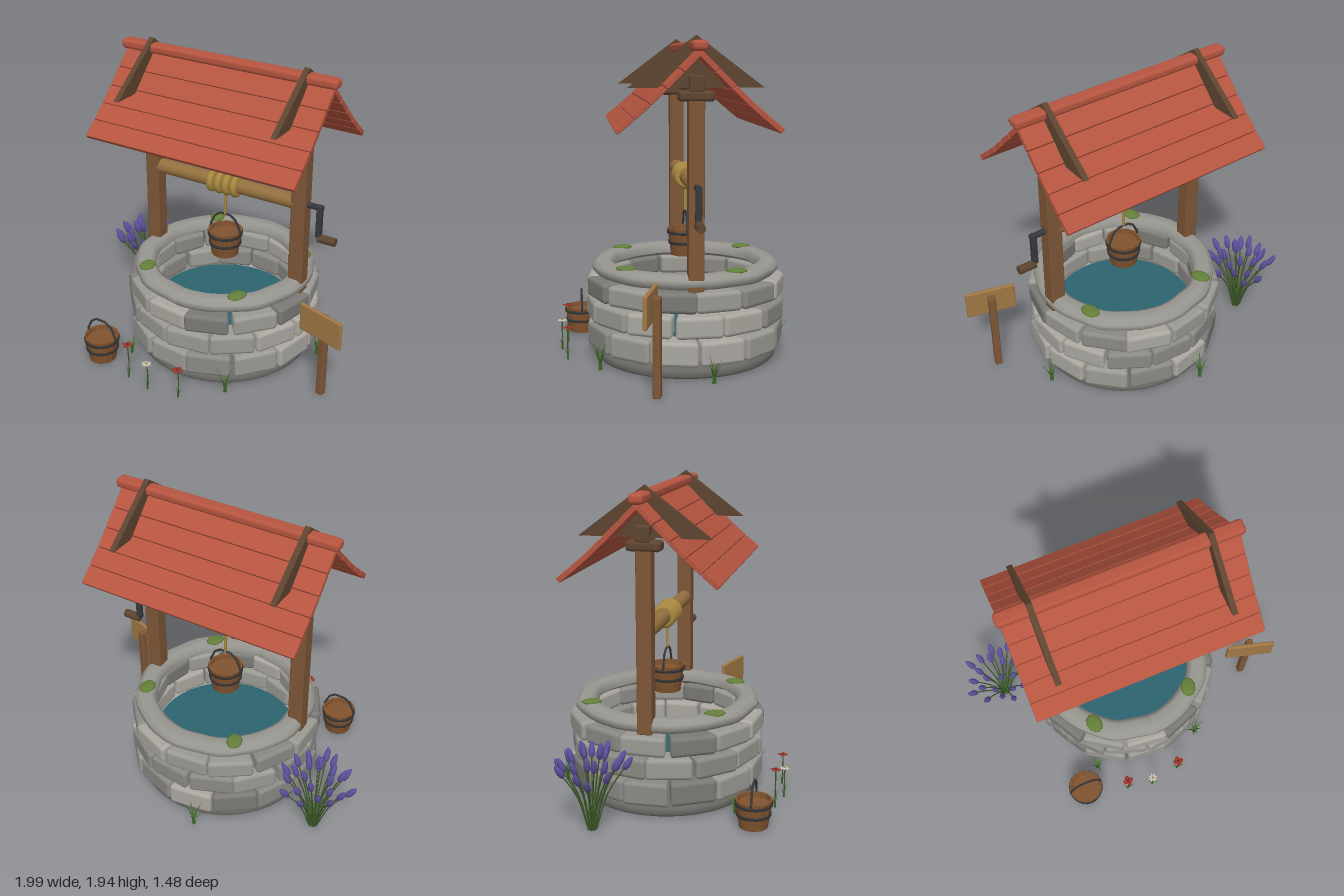
import * as THREE from 'three';
import { RoundedBoxGeometry } from 'three/addons/geometries/RoundedBoxGeometry.js';

const CX = 0.03, CZ = -0.047; // centre of the well
const V = (x, y, z) => new THREE.Vector3(x, y, z);
const mat = (color, extra = {}) => new THREE.MeshStandardMaterial({ color, ...extra });
const M = {
  wood: mat(0x7d5636), darkWood: mat(0x5e4430), axle: mat(0x94703f), sign: mat(0xa07845), bucket: mat(0x80532f),
  roof: mat(0xb65540), rim: mat(0x989690), base: mat(0x6e6d69), water: mat(0x2c6470), rope: mat(0xa8893f),
  metal: mat(0x37383b), moss: mat(0x64803a), leaf: mat(0x44702c, { side: THREE.DoubleSide }), stem: mat(0x3f5a2a),
  lavender: mat(0x5e529e), red: mat(0xa83328, { side: THREE.DoubleSide }), white: mat(0xcfcabc, { side: THREE.DoubleSide }),
};
const STONES = [0x8b8984, 0x9b9993, 0x7b7975, 0xaaa7a0].map(c => mat(c));

let seed = 7;
const rnd = () => (seed = (seed * 16807) % 2147483647) / 2147483647;

function add(parent, name, geo, material, x = 0, y = 0, z = 0) {
  const m = new THREE.Mesh(geo, material);
  m.name = name;
  m.position.set(x, y, z);
  parent.add(m);
  return m;
}
function group(parent, name, x = 0, y = 0, z = 0) {
  const g = new THREE.Group();
  g.name = name;
  g.position.set(x, y, z);
  parent.add(g);
  return g;
}
const rbox = (w, h, d, r = 0.008) => new RoundedBoxGeometry(w, h, d, 2, r);
const tube = (pts, r, n = 16, sides = 6) => new THREE.TubeGeometry(new THREE.CatmullRomCurve3(pts), n, r, sides);
const lathe = (pts, n) => new THREE.LatheGeometry(pts.map(p => new THREE.Vector2(...p)), n);

// Stone ring, base, rim, water and moss
function buildWell(root) {
  const well = group(root, 'well', CX, 0, CZ);
  add(well, 'base', lathe([[0, 0], [0.54, 0], [0.555, 0.015], [0.557, 0.05], [0.54, 0.07], [0, 0.07]], 48), M.base);
  add(well, 'water', new THREE.CylinderGeometry(0.46, 0.46, 0.01, 40), M.water, 0, 0.237, 0);
  const rows = [[0.155, 0.145, 8], [0.31, 0.13, -6], [0.45, 0.12, 7]], count = 13;
  rows.forEach(([y, h, offset], row) => {
    for (let i = 0; i < count; i++) {
      const a = (offset + (i + 0.5) * 360 / count + (rnd() - 0.5) * 2) * Math.PI / 180;
      const geo = rbox(0.268 + rnd() * 0.012, h, 0.15, 0.025);
      // taper toward the inside so that neighbours fit round the ring
      const p = geo.attributes.position;
      for (let k = 0; k < p.count; k++) p.setX(k, p.getX(k) * (0.91 + p.getZ(k) * 1.6));
      const r = 0.514 + rnd() * 0.014;
      const s = add(well, 'stone', geo, STONES[(i * 3 + row + Math.floor(rnd() * 3)) % 4], Math.sin(a) * r, y, Math.cos(a) * r);
      s.rotation.y = a;
    }
  });
  const rim = lathe([[0.44, 0.535], [0.47, 0.515], [0.545, 0.52], [0.568, 0.545], [0.565, 0.575],
    [0.535, 0.598], [0.47, 0.6], [0.44, 0.58], [0.44, 0.535]], 56);
  const p = rim.attributes.position;
  for (let i = 0; i < p.count; i++) {
    const a = Math.atan2(p.getX(i), p.getZ(i)), k = 1 + 0.008 * Math.sin(a * 9) + 0.005 * Math.cos(a * 14);
    p.setX(i, p.getX(i) * k);
    p.setZ(i, p.getZ(i) * k);
  }
  rim.computeVertexNormals();
  add(well, 'rim', rim, M.rim);
  for (const [x, z] of [[-0.34, 0.37], [0.31, 0.38], [0.43, -0.25], [-0.3, -0.4]]) {
    const m = add(well, 'moss', new THREE.SphereGeometry(0.065, 10, 6), M.moss, x, 0.6, z);
    m.scale.set(1, 0.22, 0.75);
    m.rotation.y = x * 4;
  }
}

// Posts, beams, gables and plank roof
function buildRoof(root) {
  const roof = group(root, 'roofFrame', CX, 0, CZ);
  for (const x of [-0.516, 0.516]) {
    add(roof, 'post', rbox(0.093, 1.16, 0.09), M.wood, x, 1.09, 0);
    add(roof, 'crossBeam', rbox(0.11, 0.06, 0.2, 0.02), M.darkWood, x, 1.605, 0);
    const tri = new THREE.Shape([new THREE.Vector2(-0.378, 1.65), new THREE.Vector2(0.378, 1.65), new THREE.Vector2(0, 1.935)]);
    const gable = add(roof, 'gable', new THREE.ExtrudeGeometry(tri, { depth: 0.034, bevelEnabled: false }), M.darkWood, x - 0.017, 0, 0);
    gable.rotation.y = Math.PI / 2;
  }
  add(roof, 'ridgeBeam', rbox(1.16, 0.09, 0.085), M.darkWood, 0, 1.675, 0);
  const profile = [[0, 1.84], [0.095, 1.745], [0.185, 1.655], [0.273, 1.57], [0.362, 1.493], [0.452, 1.418]];
  for (const side of [1, -1]) for (let i = 0; i < 5; i++) {
    const [z0, y0] = profile[i], [z1, y1] = profile[i + 1];
    const plank = add(roof, 'roofPlank', rbox(1.382, 0.032, Math.hypot(z1 - z0, y1 - y0) - 0.003, 0.005), M.roof,
      0, (y0 + y1) / 2, side * (z0 + z1) / 2);
    plank.rotation.x = side * Math.atan2(y0 - y1, z1 - z0);
  }
  add(roof, 'ridgeCap', rbox(1.43, 0.058, 0.085, 0.022), M.roof, 0, 1.876, 0);
}

// Axle, rope and crank
function buildWindlass(root) {
  const w = group(root, 'windlass', CX, 1.105, CZ);
  const rod = (name, r, len, material, x, y) => {
    add(w, name, new THREE.CylinderGeometry(r, r, len, 16), material, x, y, 0).rotation.z = Math.PI / 2;
  };
  rod('axle', 0.046, 0.98, M.axle, 0, 0);
  for (let i = 0; i < 4; i++) {
    const coil = add(w, 'ropeCoil', new THREE.TorusGeometry(0.053, 0.023, 8, 20), M.rope, (i - 1.5) * 0.055, 0, 0);
    coil.rotation.y = Math.PI / 2;
  }
  add(w, 'rope', new THREE.CylinderGeometry(0.009, 0.009, 0.2, 8), M.rope, 0, -0.12, 0);
  rod('crankShaft', 0.018, 0.11, M.metal, 0.605, 0);
  add(w, 'crankArm', rbox(0.035, 0.21, 0.036), M.metal, 0.64, -0.09, 0);
  rod('crankHandle', 0.026, 0.11, M.darkWood, 0.695, -0.2);
}

// Staved bucket with hoops and bent wire handle
function buildBucket(root, name, x, y, z) {
  const b = group(root, name, x, y, z);
  const body = lathe([[0, 0], [0.086, 0], [0.109, 0.168], [0.096, 0.168], [0.093, 0.14], [0, 0.14]], 14).toNonIndexed();
  body.computeVertexNormals();
  add(b, 'bucketBody', body, M.bucket);
  for (const [h, r] of [[0.09, 0.1], [0.152, 0.108]]) {
    add(b, 'hoop', new THREE.CylinderGeometry(r + 0.005, r + 0.003, 0.016, 20), M.metal, 0, h - 0.01, 0).geometry =
      lathe([[r - 0.005, -0.008], [r + 0.003, -0.008], [r + 0.005, 0.008], [r - 0.003, 0.008], [r - 0.005, -0.008]], 20);
  }
  const path = new THREE.CurvePath();
  const pts = [[-0.108, 0.15], [-0.105, 0.18], [-0.075, 0.245], [-0.035, 0.272], [0.035, 0.272], [0.075, 0.245], [0.105, 0.18], [0.108, 0.15]];
  for (let i = 1; i < pts.length; i++) path.add(new THREE.LineCurve3(V(...pts[i - 1], 0), V(...pts[i], 0)));
  add(b, 'handle', new THREE.TubeGeometry(path, 48, 0.007, 6), M.metal);
}

// Signpost with a blank board
function buildSign(root) {
  const s = group(root, 'signpost', 0.845, 0, 0.22);
  s.rotation.y = -0.28;
  add(s, 'signPost', rbox(0.045, 0.56, 0.045), M.wood, 0, 0.28, -0.023);
  add(s, 'signBoard', rbox(0.31, 0.18, 0.025), M.sign, 0, 0.505, 0.012);
}

// A pointed blade of grass leaning out in direction a
function blade(parent, a, h, lean, w = 0.013) {
  const geo = new THREE.PlaneGeometry(1, 1, 1, 4), p = geo.attributes.position;
  for (let i = 0; i < p.count; i++) {
    const t = p.getY(i) + 0.5;
    p.setXYZ(i, p.getX(i) * w * 2 * (1 - t * 0.95), t * h, lean * t * t);
  }
  geo.computeVertexNormals();
  add(parent, 'grassBlade', geo, M.leaf).rotation.y = a;
}
function tuft(root, x, z, h, n = 7) {
  const g = group(root, 'grassTuft', x, 0, z);
  for (let i = 0; i < n; i++) blade(g, i * 2.4, h * (0.65 + 0.35 * rnd()), 0.03 + 0.04 * rnd());
}

function buildPlants(root) {
  const lav = group(root, 'lavender', -0.75, 0, -0.3);
  for (let i = 0; i < 24; i++) {
    const a = i * 2.4, r = 0.03 + 0.19 * Math.sqrt((i + 0.5) / 24), h = 0.45 - r * 0.5 + rnd() * 0.07;
    const tip = V(Math.sin(a) * r, h, Math.cos(a) * r), root0 = V(tip.x * 0.12, 0, tip.z * 0.12);
    const mid = V(tip.x * 0.45, h * 0.55, tip.z * 0.45);
    add(lav, 'lavenderStem', tube([root0, mid, tip], 0.004, 6, 5), M.stem);
    const dir = tip.clone().sub(mid).normalize();
    const head = add(lav, 'lavenderHead', lathe([[0, -0.05], [0.014, -0.04], [0.02, -0.015], [0.017, 0.015], [0.01, 0.04], [0, 0.052]], 7), M.lavender);
    head.position.copy(tip);
    head.quaternion.setFromUnitVectors(V(0, 1, 0), dir);
  }
  for (let i = 0; i < 14; i++) blade(lav, i * 2.4, 0.14 + 0.1 * rnd(), 0.05 + 0.03 * rnd());

  for (const [x, z, h] of [[-0.36, 0.46, 0.14], [0.355, 0.49, 0.17], [0.66, -0.14, 0.17], [-0.11, -0.67, 0.17]]) tuft(root, x, z, h);

  // Small flowers in front of the well
  for (const [x, z, h, m] of [[-0.225, 0.68, 0.245, M.red], [-0.06, 0.715, 0.19, M.white], [0.14, 0.68, 0.2, M.red]]) {
    const f = group(root, 'flower', x, 0, z);
    add(f, 'flowerStem', tube([V(0, 0, 0), V(0.006, h / 2, 0), V(0, h, 0)], 0.004, 6, 5), M.stem);
    const n = m === M.red ? 4 : 8;
    for (let i = 0; i < n; i++) {
      const a = i / n * Math.PI * 2;
      const petal = add(f, 'petal', new THREE.SphereGeometry(0.017, 8, 4), m, Math.sin(a) * 0.017, h, Math.cos(a) * 0.017);
      petal.scale.set(n === 4 ? 0.9 : 0.35, 0.2, 1);
      petal.rotation.y = a;
    }
    add(f, 'flowerCentre', new THREE.SphereGeometry(0.008, 8, 6), n === 4 ? M.metal : M.rope, 0, h + 0.003, 0);
    blade(f, 1.2, h * 0.45, 0.04, 0.008);
    blade(f, 4.2, h * 0.35, 0.03, 0.008);
  }
}

export function createModel() {
  const root = new THREE.Group();
  root.name = 'wishingWell';
  buildWell(root);
  buildRoof(root);
  buildWindlass(root);
  buildBucket(root, 'hangingBucket', CX, 0.615, CZ);
  buildBucket(root, 'standingBucket', -0.495, 0, 0.59);
  buildSign(root);
  buildPlants(root);
  return root;
}
